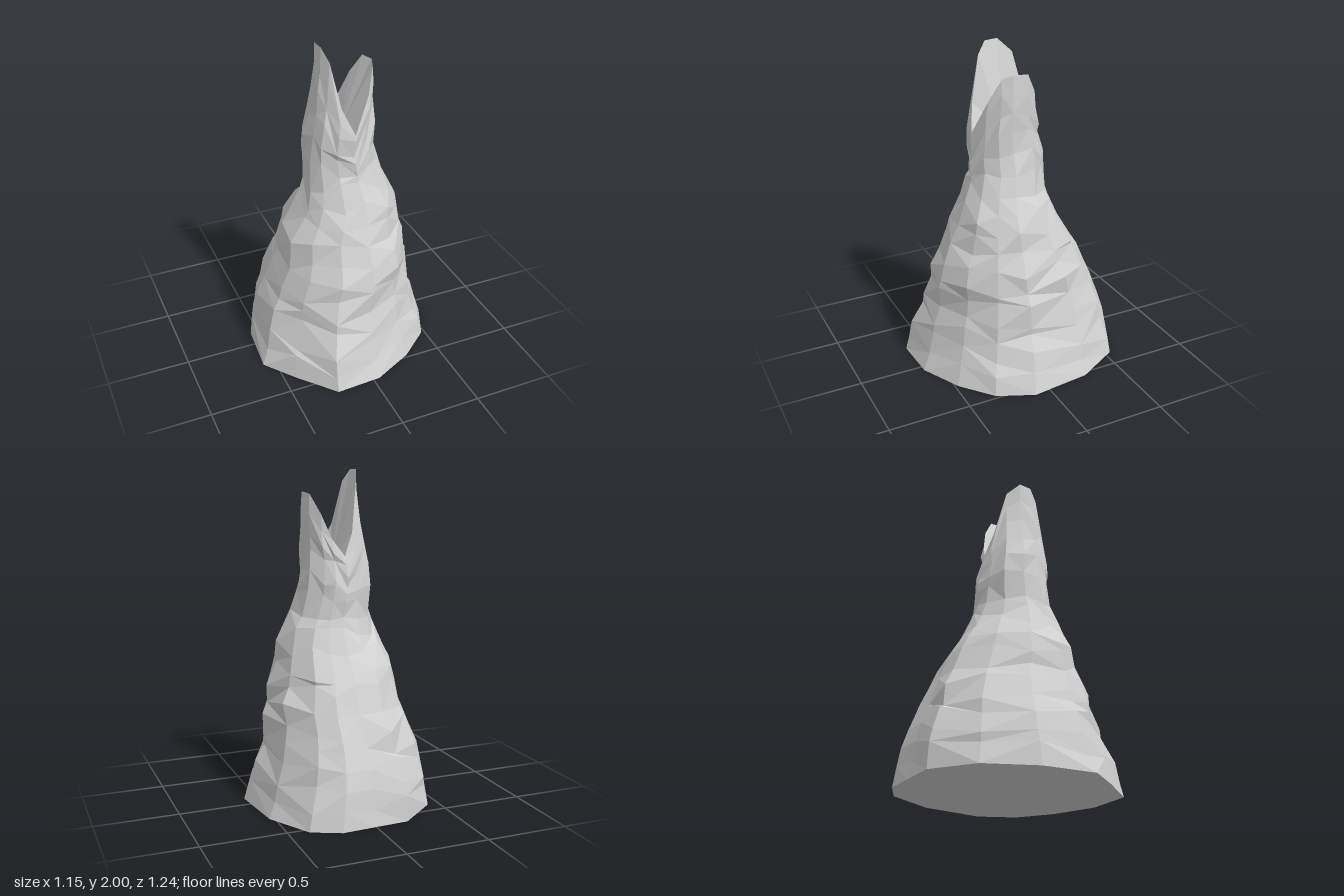
import * as THREE from 'three';

// Small seeded generator, returns -1..1
function makeNoise(seed) {
  return () => {
    seed = (seed * 16807) % 2147483647;
    return (seed / 2147483647) * 2 - 1;
  };
}

// Outline of the foot as [x, z], counter-clockwise seen from above
const FOOT = [
  [-0.24, 0.62], [0.04, 0.605], [0.29, 0.48], [0.48, 0.32], [0.575, 0.1], [0.53, -0.27], [0.38, -0.54],
  [0.21, -0.62], [0.02, -0.61], [-0.2, -0.6], [-0.43, -0.41], [-0.55, -0.11], [-0.575, 0.21], [-0.43, 0.4],
];

// Extents by height: y, left, right, back, front
const PROFILE = [
  [0, -0.575, 0.575, -0.62, 0.62], [0.18, -0.55, 0.525, -0.6, 0.58], [0.36, -0.485, 0.465, -0.55, 0.52],
  [0.53, -0.44, 0.45, -0.5, 0.49], [0.66, -0.38, 0.44, -0.43, 0.475], [0.83, -0.36, 0.385, -0.36, 0.41],
  [1.02, -0.25, 0.345, -0.235, 0.35], [1.14, -0.22, 0.275, -0.2, 0.295], [1.25, -0.21, 0.24, -0.2, 0.255],
  [1.38, -0.22, 0.215, -0.19, 0.25], [1.5, -0.195, 0.21, -0.165, 0.25], [1.65, -0.165, 0.21, -0.14, 0.225],
  [1.8, -0.14, 0.205, -0.13, 0.21], [2, -0.13, 0.19, -0.12, 0.2],
];

// Full-width rings by height, then rings as a fraction of the way to the rim
const LOWER = [0, 0.12, 0.22, 0.33, 0.41, 0.52, 0.63, 0.74, 0.83, 0.95, 1.06, 1.17];
const UPPER = [0.18, 0.34, 0.5, 0.67, 0.84, 1];
const LEVELS = LOWER.length + UPPER.length;

function extentsAt(y) {
  let k = 1;
  while (k < PROFILE.length - 1 && PROFILE[k][0] < y) k++;
  const a = PROFILE[k - 1], b = PROFILE[k];
  const t = THREE.MathUtils.clamp((y - a[0]) / (b[0] - a[0]), 0, 1);
  return a.map((v, i) => v + (b[i] - v) * t);
}

// Rim height: two prongs, left and right, with a valley between them
const rimHeight = (u) => 1.5 + THREE.MathUtils.smoothstep(Math.abs(u), 0, 1) * (u < 0 ? 0.5 : 0.37);

function surfacePoint(u, w, y, scale) {
  const [, left, right, back, front] = extentsAt(y);
  return [
    (left + right) / 2 + (u * scale * (right - left)) / 2,
    y,
    (back + front) / 2 + (w * scale * (front - back)) / 2,
  ];
}

function flatMesh(name, points, material) {
  const geometry = new THREE.BufferGeometry();
  geometry.setAttribute('position', new THREE.Float32BufferAttribute(points.flat(), 3));
  geometry.computeVertexNormals();
  const mesh = new THREE.Mesh(geometry, material);
  mesh.name = name;
  return mesh;
}

export function createModel() {
  const group = new THREE.Group();
  group.name = 'rockSpire';
  const stone = new THREE.MeshStandardMaterial({ color: 0xd2d2d2 });
  stone.name = 'grey stone';
  const noise = makeNoise(4217);

  // Rings of uneven height and radius: angular at the foot, rounder above, rising to the split rim
  const rings = [];
  for (let k = 0; k < LEVELS; k++) {
    const isLower = k < LOWER.length;
    const rough = k > 0 && k < LEVELS - 1;
    const roundness = isLower ? Math.min(LOWER[k], 1) : 1;
    rings.push(FOOT.map(([x, z]) => {
      const u = x / 0.575, w = z / 0.62, r = Math.hypot(u, w);
      const round = THREE.MathUtils.lerp(1, 1 / r, roundness);
      const y = isLower ? LOWER[k] : THREE.MathUtils.lerp(1.17, rimHeight(u / r), UPPER[k - LOWER.length]);
      const lift = rough ? noise() * (isLower ? 0.045 : 0.03) : 0;
      const scale = rough ? 0.99 + noise() * (isLower ? 0.035 : 0.06) : 1;
      return surfacePoint(u * round, w * round, y + lift, scale);
    }));
  }

  // Rocky flanks
  const n = FOOT.length;
  const flank = [];
  for (let k = 0; k < LEVELS - 1; k++) {
    for (let i = 0; i < n; i++) {
      const j = (i + 1) % n;
      const a = rings[k][i], b = rings[k][j], c = rings[k + 1][j], d = rings[k + 1][i];
      if (noise() > 0) flank.push(a, b, c, a, c, d);
      else flank.push(a, b, d, b, c, d);
    }
  }
  group.add(flatMesh('rockFlanks', flank, stone));

  // Sloping inner faces of the notch, and the flat underside
  const notch = [], underside = [];
  const rim = rings[LEVELS - 1], foot = rings[0];
  for (let i = 0; i < n; i++) {
    const j = (i + 1) % n;
    notch.push(rim[i], rim[j], [0.02, 1.46, 0.04]);
    underside.push(foot[j], foot[i], [0, 0, 0]);
  }
  group.add(flatMesh('notchFaces', notch, stone));
  group.add(flatMesh('underside', underside, stone));
  return group;
}
